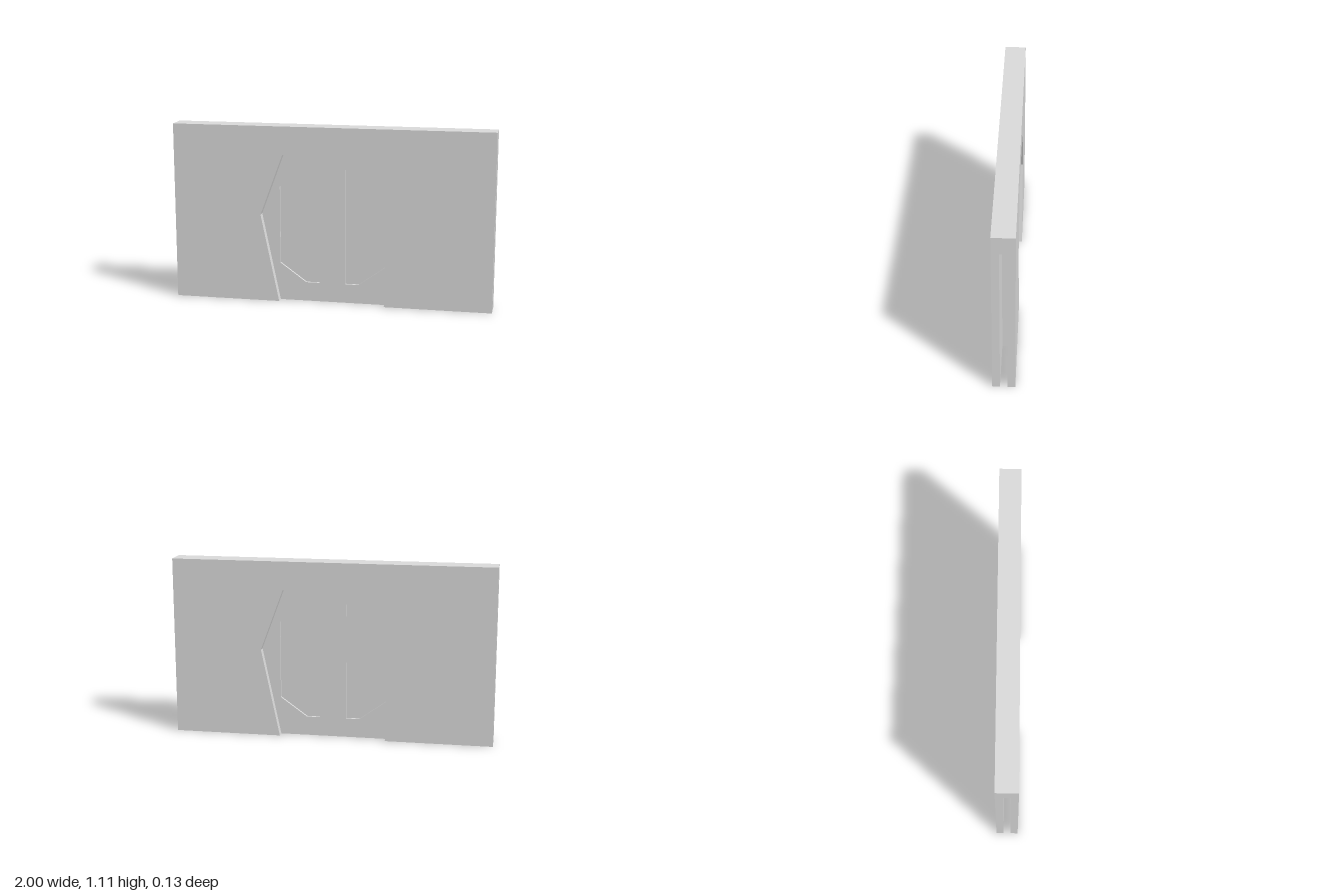
import * as THREE from 'three';

const HALF_W = 1, HEIGHT = 1.11, HALF_T = 0.067; // wall
const SLOT = 0.022, SLOT_TOP = 1.0;              // pocket the door slides in
const DOOR_W = 0.667, DOOR_H = 0.967, CORE = 0.0075;

const points = (list) => list.map(([x, y]) => new THREE.Vector2(x, y));

export function createModel() {
  const group = new THREE.Group();
  const lightGrey = new THREE.MeshStandardMaterial({ color: 0xdadada });
  lightGrey.name = 'lightGrey';

  const add = (name, geometry, y, z) => {
    const mesh = new THREE.Mesh(geometry, lightGrey);
    mesh.name = name;
    mesh.position.set(0, y, z);
    group.add(mesh);
  };
  const extrude = (shape, depth) =>
    new THREE.ExtrudeGeometry(shape, { depth, bevelEnabled: false });

  // Wall face, cut away around the doorway
  const wall = new THREE.Shape(points([
    [-HALF_W, 0], [-0.333, 0], [-0.447, 0.553], [-0.305, 0.933],
    [0.305, 0.933], [0.447, 0.553], [0.333, 0],
    [HALF_W, 0], [HALF_W, HEIGHT], [-HALF_W, HEIGHT],
  ]));

  // Door face with two mirrored window openings
  const door = new THREE.Shape(points([
    [-DOOR_W, 0], [DOOR_W, 0], [DOOR_W, DOOR_H], [-DOOR_W, DOOR_H],
  ]));
  for (const side of [-1, 1]) {
    door.holes.push(new THREE.Path(points([
      [0.083, 0.12], [0.167, 0.12], [0.333, 0.24],
      [0.333, 0.727], [0.167, 0.847], [0.083, 0.847],
    ].map(([x, y]) => [side * x, y]))));
  }

  // Matching faces on the front and back
  const wallDepth = HALF_T - SLOT, doorDepth = SLOT - CORE;
  add('frontWall', extrude(wall, wallDepth), 0, SLOT);
  add('backWall', extrude(wall, wallDepth), 0, -HALF_T);
  add('frontDoorFace', extrude(door, doorDepth), 0, CORE);
  add('backDoorFace', extrude(door, doorDepth), 0, -SLOT);

  // Recessed window panes are the core of the door
  add('doorCore', new THREE.BoxGeometry(2 * DOOR_W, DOOR_H, 2 * CORE), DOOR_H / 2, 0);

  // Beam closing the top of the pocket
  add('topBeam', new THREE.BoxGeometry(2 * HALF_W, HEIGHT - SLOT_TOP, 2 * SLOT),
    (HEIGHT + SLOT_TOP) / 2, 0);

  return group;
}
